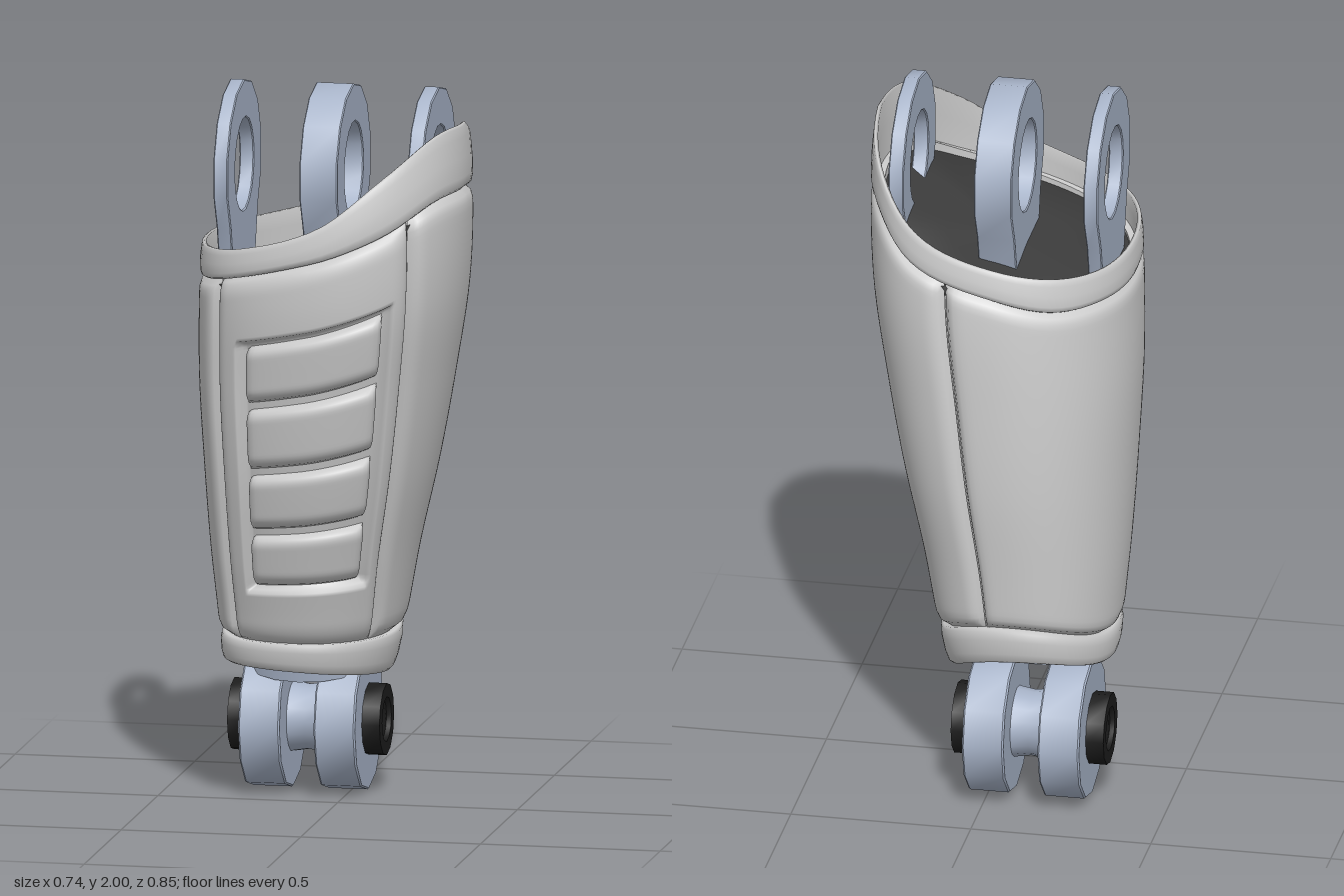
import * as THREE from 'three';
import { toCreasedNormals } from 'three/addons/utils/BufferGeometryUtils.js';

const mat = (color) => new THREE.MeshStandardMaterial({ color, side: THREE.DoubleSide });
const grey = mat(0xcccccc), dark = mat(0x3c3c3c), black = mat(0x1c1c1c), steel = mat(0xa9b5ca);
const { lerp, smoothstep, clamp } = THREE.MathUtils;
const RAD = Math.PI / 180;

// Outline of the limb by height: right, left, front and back extents
const outline = new THREE.CubicInterpolant(
  [0.36, 0.5, 0.7, 0.95, 1.2, 1.45, 1.7, 1.9],
  [
    -0.328, 0.132, 0.168, -0.37,
    -0.337, 0.162, 0.2, -0.39,
    -0.352, 0.202, 0.262, -0.405,
    -0.364, 0.262, 0.332, -0.42,
    -0.372, 0.312, 0.382, -0.417,
    -0.366, 0.354, 0.42, -0.402,
    -0.355, 0.368, 0.412, -0.365,
    -0.345, 0.363, 0.37, -0.34,
  ], 4);
// Collar seam height and rim height every 30 degrees, from +x towards +z
const collarTable = new THREE.CubicInterpolant(
  [0, 30, 60, 90, 120, 150, 180, 210, 240, 270, 300, 330, 360],
  [1.73, 1.91, 1.72, 1.9, 1.64, 1.8, 1.57, 1.66, 1.52, 1.6, 1.49, 1.58, 1.48, 1.575,
    1.48, 1.57, 1.49, 1.585, 1.54, 1.625, 1.6, 1.69, 1.7, 1.81, 1.73, 1.91], 2);

const wrap = (a) => ((a % 360) + 360) % 360;
const seamY = (a) => collarTable.evaluate(wrap(a))[0];
const rimY = (a) => collarTable.evaluate(wrap(a))[1];
const backLift = (a) => 0.08 * Math.max(0, -Math.sin(a * RAD)) ** 2;
const hemY = (a) => 0.37 - 0.015 * Math.cos(a * RAD) + 0.02 * Math.max(0, Math.sin(a * RAD)) + backLift(a);
const cuffY = (a) => 0.47 + backLift(a);

// Point on the limb surface at an angle and height, pushed out by off
function at(a, y, off = 0) {
  const [l, r, f, b] = outline.evaluate(y);
  const c = Math.cos(a * RAD), s = Math.sin(a * RAD);
  const corner = 0.1 - 0.06 * smoothstep(y, 1.5, 1.8);
  const power = 0.93 - corner * Math.max(0, -Math.sin(2 * a * RAD));
  const round = (k) => Math.sign(k) * Math.abs(k) ** power;
  return new THREE.Vector3(
    (l + r) / 2 + ((r - l) / 2 + off) * round(c), y,
    (f + b) / 2 + ((f - b) / 2 + off) * round(s));
}

// Smooth grid of points fn(u, v); closed joins the u ends
function grid(nu, nv, fn, closed = false) {
  const pos = [], idx = [], w = closed ? nu : nu + 1;
  for (let j = 0; j <= nv; j++)
    for (let i = 0; i < w; i++) pos.push(...fn(i / nu, j / nv).toArray());
  for (let j = 0; j < nv; j++)
    for (let i = 0; i < nu; i++) {
      const a = j * w + i, b = j * w + (i + 1) % w, c = a + w, d = b + w;
      idx.push(a, c, b, b, c, d);
    }
  const g = new THREE.BufferGeometry();
  g.setAttribute('position', new THREE.Float32BufferAttribute(pos, 3));
  g.setIndex(idx);
  g.computeVertexNormals();
  return g;
}

// Band round the limb: profile of [height fraction, offset, pull to axis]
function band(lo, hi, profile) {
  const n = profile.length - 1;
  return grid(72, n, (u, t) => {
    const [v, off, pull = 0] = profile[Math.round(t * n)];
    const yAt = (a) => lerp(lo(a), hi(a), v);
    const p = at(u * 360, yAt(u * 360), off);
    if (!pull) return p;
    const mid = at(0, yAt(90)).add(at(180, yAt(90))).multiplyScalar(0.5);
    return p.lerp(mid, pull);
  }, true);
}

// Padded panel between two slanting angles [bottom, top], with rounded edges
function panel(nu, nv, A, B, [v0, v1], base, height, edge, dent = () => 0) {
  return grid(nu, nv, (s, t) => {
    const v = lerp(v0, v1, t);
    const a0 = lerp(...A, v), a1 = lerp(...B, v), a = lerp(a0, a1, s);
    const du = Math.min(s, 1 - s) * (a1 - a0) * RAD * 0.36;
    const dv = Math.min(t, 1 - t) * (v1 - v0) * 1.1;
    const puff = (d) => Math.sqrt(1 - (1 - clamp(d / edge, 0, 1)) ** 2);
    return at(a, lerp(cuffY(a), seamY(a), v), base + height * puff(du) * puff(dv) - dent(s, v));
  });
}

// Eye plate in the yz plane: a disc with a hole and a tail reaching down
function eyePlate(R, hole, tailY, tailHalf, width, sides, bevel) {
  const r = R - bevel, pts = [];
  for (let i = 0; i <= sides; i++) {
    const a = (i / sides - 0.25) * Math.PI * 2;
    const p = new THREE.Vector2(Math.cos(a) * r, Math.sin(a) * r);
    if (p.y > -r * 0.75) pts.push(p);
  }
  const shape = new THREE.Shape([...pts,
    new THREE.Vector2(-tailHalf, tailY), new THREE.Vector2(tailHalf, tailY)]);
  shape.holes.push(new THREE.Path().absarc(0, 0, hole + bevel, 0, Math.PI * 2, true));
  const g = new THREE.ExtrudeGeometry(shape, {
    depth: width - 2 * bevel, bevelSize: bevel, bevelThickness: bevel, bevelSegments: 1, curveSegments: 9,
  });
  return toCreasedNormals(g.translate(0, 0, bevel - width / 2).rotateY(Math.PI / 2), 0.55);
}

// Turned part along x from [radius, height] points, with soft shallow edges
function turned(points, sides, side = 1) {
  const g = new THREE.LatheGeometry(points.map(([r, h]) => new THREE.Vector2(r, h)), sides);
  return toCreasedNormals(g.rotateZ(-side * Math.PI / 2), 0.7);
}

export function createModel() {
  const model = new THREE.Group();
  const add = (name, geometry, material, x = 0, y = 0, z = 0) => {
    const m = new THREE.Mesh(geometry, material);
    m.name = name;
    m.position.set(x, y, z);
    model.add(m);
    return m;
  };

  // Under-shell and dark core with both ends closed
  const steps = Array.from({ length: 16 }, (_, i) => i / 16);
  add('underShell', band(cuffY, seamY, [...steps, 1].map((v) => [v, -0.036])), grey);
  add('core', band(cuffY, seamY, [[-0.04, -0.045, 1], [-0.04, -0.045], ...steps.map((v) => [v, -0.045]),
    [0.985, -0.018], [0.985, -0.018, 0.5], [0.985, -0.018, 1]]), dark);

  // Thin flaring collar and rounded cuff
  add('collar', band(seamY, rimY, [[0, -0.036], [0, -0.012], [0.05, -0.003], [0.2, 0.002], [0.5, 0.002],
    [0.8, 0], [0.96, -0.002], [1, -0.007], [0.98, -0.014], [0.5, -0.016], [0, -0.018]]), grey);
  add('cuff', band(cuffY, hemY, [[0, -0.036], [0, -0.012], [0.06, -0.004], [0.3, 0.001], [0.7, 0.001],
    [0.93, -0.003], [1, -0.01], [0.98, -0.02], [0.5, -0.024], [0, -0.024]]), grey);

  // Outer panels, meeting at two front seams and one back seam
  const fA = [34, 45], fB = [130.5, 135.5];
  const pocket = (s, v) => 0.03 * smoothstep(s, 0.1, 0.118) * (1 - smoothstep(s, 0.815, 0.835))
    * smoothstep(v, 0.14, 0.152) * (1 - smoothstep(v, 0.815, 0.828));
  add('frontPanel', panel(84, 110, fA, fB, [0, 1], -0.026, 0.028, 0.06, pocket), grey);
  add('rightPanel', panel(64, 60, [131, 136], [284.5, 284.5], [0, 1], -0.026, 0.028, 0.05), grey);
  add('leftPanel', panel(64, 60, [285, 285], [393.5, 404.5], [0, 1], -0.026, 0.028, 0.05), grey);

  // Four padded ribs in the front pocket
  const across = (bottom, top) => [lerp(fA[0], fB[0], bottom), lerp(fA[1], fB[1], top)];
  for (const span of [[0.155, 0.295], [0.31, 0.46], [0.475, 0.64], [0.655, 0.812]])
    add('rib', panel(28, 20, across(0.14, 0.122), across(0.812, 0.797), span, -0.033, 0.038, 0.04), grey);

  // Three joint eyes standing in the collar
  for (const [x, w] of [[-0.277, 0.04], [-0.005, 0.105], [0.264, 0.042]])
    add('jointEye', eyePlate(0.234, 0.128, -0.37, 0.12, w, 14, 0.003), steel, x, 1.766, 0.01);

  // Lower fork: two round cheeks, a neck leaning forward, hub and axle caps
  const axleY = 0.197, axleZ = -0.203;
  const cheek = [[0, -0.0575], [0.193, -0.0575], [0.197, -0.053], [0.197, 0.053], [0.193, 0.0575], [0, 0.0575]];
  for (const x of [-0.222, -0.012]) add('forkCheek', turned(cheek, 12), steel, x, axleY, axleZ);
  const neck = new THREE.CylinderGeometry(0.11, 0.155, 0.25, 14).scale(1, 1, 0.62);
  add('forkNeck', neck, steel, -0.117, 0.47, -0.092).rotation.x = 0.3;
  add('hub', turned([[0.1, -0.06], [0.09, 0], [0.1, 0.06]], 16), steel, -0.117, axleY, axleZ);
  const cap = [[0.1, 0], [0.1, 0.05], [0.062, 0.05], [0.055, 0.038], [0.04, 0.038], [0.024, 0.03], [0.024, 0]];
  for (const side of [-1, 1])
    add('axleCap', turned(cap, 12, side), black, -0.117 + side * 0.162, axleY, axleZ);
  const axle = [[0, -0.185], [0.024, -0.185], [0.024, 0.185], [0, 0.185]];
  add('axle', turned(axle, 12), steel, -0.117, axleY, axleZ);
  return model;
}
